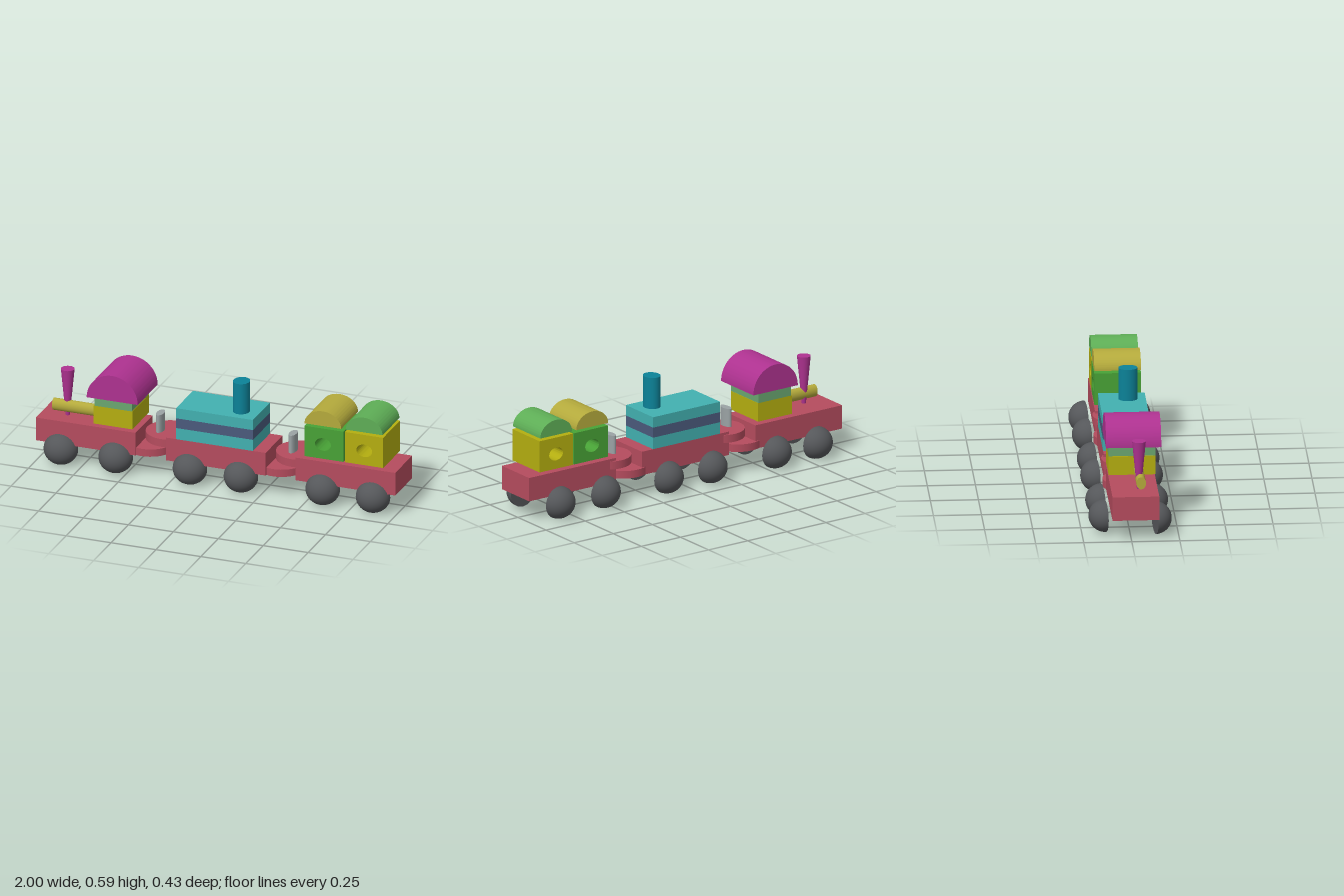
import * as THREE from 'three';
import { toCreasedNormals } from 'three/addons/utils/BufferGeometryUtils.js';

const C = {
  red: 0xb54c5e, wheel: 0x55575a, teal: 0x42b0b0, navy: 0x4a5a7c, blue: 0x0c8298,
  magenta: 0xae3290, yellow: 0xb4ae10, gold: 0xb4aa3c, leaf: 0x5eae56, green: 0x48a236,
  sage: 0x6aa670, steel: 0x9aa2a4,
};
// Depth range shared by the cars and their loads
const BACK = -0.1, FRONT = 0.143;

export function createModel() {
  const model = new THREE.Group();
  model.name = 'toyTrain';
  const mats = {};
  const mat = (c) => (mats[c] ??= new THREE.MeshStandardMaterial({ color: C[c] }));

  function add(parent, name, geo, color, x = 0, y = 0, z = 0) {
    const mesh = new THREE.Mesh(geo, mat(color));
    mesh.name = name;
    mesh.position.set(x, y, z);
    parent.add(mesh);
    return mesh;
  }
  const block = (parent, name, color, x0, x1, y0, y1) =>
    add(parent, name, new THREE.BoxGeometry(x1 - x0, y1 - y0, FRONT - BACK), color,
      (x0 + x1) / 2, (y0 + y1) / 2, (FRONT + BACK) / 2);

  // Upright cylinder between two heights, optionally tapered or oval
  function post(parent, name, color, x, z, y0, y1, rTop, rBottom = rTop, depth = 1) {
    const geo = new THREE.CylinderGeometry(rTop, rBottom, y1 - y0, 40);
    geo.scale(1, 1, depth);
    return add(parent, name, geo, color, x, (y0 + y1) / 2, z);
  }

  // Extrude a shape along z with smooth curved sides
  const extrude = (shape, depth) => toCreasedNormals(
    new THREE.ExtrudeGeometry(shape, { depth, bevelEnabled: false, curveSegments: 32 }), 0.6);

  // Half-round roof lying along z
  function roof(parent, name, color, x, y, rx, ry, z0, z1) {
    const s = new THREE.Shape();
    s.moveTo(rx, 0);
    s.absellipse(0, 0, rx, ry, 0, Math.PI, false);
    s.closePath();
    add(parent, name, extrude(s, z1 - z0), color, x, y, z0);
  }

  // Cabin block with an oval hole right through it
  function holedBlock(parent, name, color, x0, x1, y0, y1, hx, hy) {
    const s = new THREE.Shape();
    s.moveTo(x0, y0);
    s.lineTo(x1, y0);
    s.lineTo(x1, y1);
    s.lineTo(x0, y1);
    s.closePath();
    const hole = new THREE.Path();
    hole.absellipse(hx, hy, 0.044, 0.035, 0, Math.PI * 2, true);
    s.holes.push(hole);
    add(parent, name, extrude(s, FRONT - BACK), color, 0, 0, BACK);
  }

  // Solid half-ball wheel: dome towards +z, flat disc towards the car
  const dome = new THREE.SphereGeometry(1, 40, 16, 0, Math.PI * 2, 0, Math.PI / 2);
  dome.rotateX(Math.PI / 2);
  dome.scale(0.091, 0.0857, 0.0865);
  const disc = new THREE.CircleGeometry(1, 40);
  disc.rotateY(Math.PI);
  disc.scale(0.091, 0.0857, 1);
  function wheel(parent, name, x, z, turn) {
    const g = new THREE.Group();
    g.name = name;
    add(g, 'wheelDome', dome, 'wheel');
    add(g, 'wheelInnerFace', disc, 'wheel');
    g.position.set(x, 0.087, z);
    g.rotation.y = turn;
    parent.add(g);
  }

  // Three cars: chassis and four wheels each
  const tilt = 0.147;
  const cars = [
    { name: 'engineCar', x0: -1, x1: -0.445, front: [-0.865, -0.56], back: [-0.812, -0.55] },
    { name: 'middleCar', x0: -0.277, x1: 0.279, front: [-0.147, 0.137], back: [-0.14, 0.14] },
    { name: 'rearCar', x0: 0.445, x1: 1, front: [0.592, 0.872], back: [0.543, 0.832] },
  ].map(({ name, x0, x1, front, back }) => {
    const car = new THREE.Group();
    car.name = name;
    block(car, 'chassis', 'red', x0, x1, 0.117, 0.245);
    front.forEach((x) => wheel(car, 'frontWheel', x, 0.129, tilt));
    back.forEach((x) => wheel(car, 'backWheel', x, -0.127, Math.PI + tilt));
    model.add(car);
    return car;
  });
  const [engine, middle, rear] = cars;

  // Couplings: overlapping round plates joined by an oval pin
  const couplings = [
    { lower: -0.412, upper: -0.302, pin: -0.35, lowerCar: engine, upperCar: middle },
    { lower: 0.318, upper: 0.423, pin: 0.388, lowerCar: middle, upperCar: rear },
  ];
  for (const c of couplings) {
    post(c.lowerCar, 'lowerCouplingPlate', 'red', c.lower, 0.013, 0.118, 0.159, 0.128);
    post(c.upperCar, 'upperCouplingPlate', 'red', c.upper, 0.013, 0.188, 0.231, 0.128);
    post(c.lowerCar, 'couplingPin', 'steel', c.pin, 0.029, 0.12, 0.33, 0.02, 0.02, 2.1);
  }

  // Engine: boiler, tapered chimney, cabin and big round roof
  const boiler = new THREE.CylinderGeometry(1, 1, 0.245, 40);
  boiler.rotateZ(Math.PI / 2);
  boiler.scale(1, 0.033, 0.025);
  add(engine, 'boiler', boiler, 'gold', -0.813, 0.298, 0.053);
  post(engine, 'chimney', 'magenta', -0.86, 0.046, 0.245, 0.505, 0.036, 0.011);
  block(engine, 'cabin', 'yellow', -0.678, -0.463, 0.262, 0.363);
  block(engine, 'cabinUpper', 'sage', -0.673, -0.465, 0.363, 0.419);
  roof(engine, 'cabinRoof', 'magenta', -0.564, 0.418, 0.142, 0.142, -0.115, 0.172);

  // Middle car: three stacked layers and a funnel
  [['teal', 0.245, 0.308], ['navy', 0.308, 0.363], ['teal', 0.363, 0.42]].forEach(
    ([color, y0, y1], i) => block(middle, `layer${i + 1}`, color, -0.22, 0.208, y0, y1));
  post(middle, 'funnel', 'blue', 0.109, 0.05, 0.42, 0.59, 0.044, 0.044, 1.13);

  // Rear car: two cabins with round windows and rounded roofs
  holedBlock(rear, 'firstCabin', 'green', 0.496, 0.712, 0.262, 0.433, 0.598, 0.343);
  holedBlock(rear, 'secondCabin', 'yellow', 0.719, 0.933, 0.262, 0.433, 0.828, 0.343);
  roof(rear, 'firstRoof', 'gold', 0.597, 0.447, 0.102, 0.083, BACK, FRONT);
  roof(rear, 'secondRoof', 'leaf', 0.827, 0.447, 0.102, 0.083, BACK, FRONT);

  return model;
}
